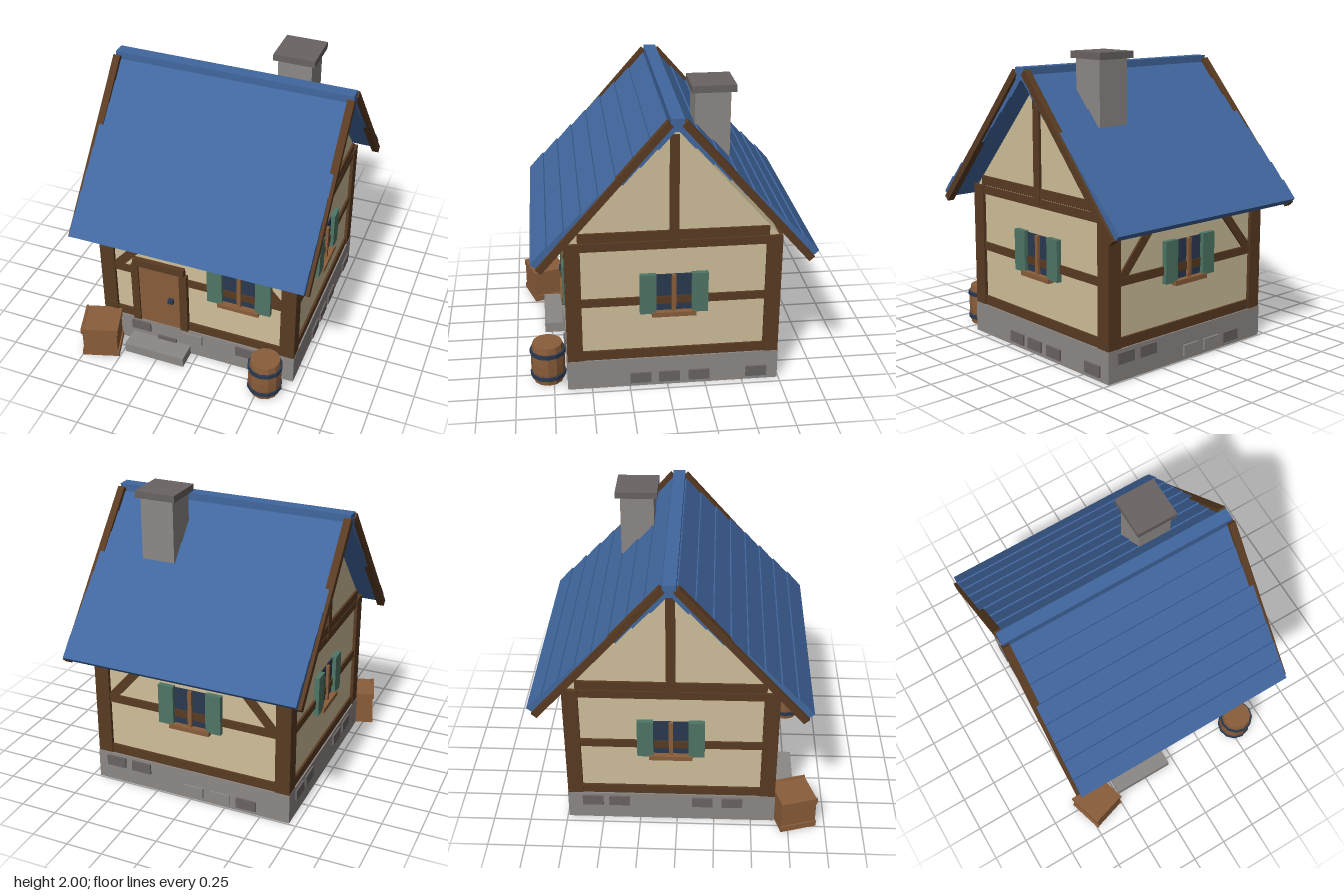
import * as THREE from 'three';

const mat = (name, color) => {
  const m = new THREE.MeshStandardMaterial({ color });
  m.name = name;
  return m;
};

export function createModel() {
  const plaster = mat('plaster', 0xcfbf9a);
  const timber = mat('dark timber', 0x593b22);
  const wood = mat('light wood', 0x8a5d3a);
  const roofBlue = mat('roof blue', 0x41679f);
  const stone = mat('stone', 0x8c8885);
  const darkStone = mat('dark stone', 0x6a6363);
  const shutterGreen = mat('shutter green', 0x4e7565);
  const darkBlue = mat('glass and iron', 0x2a3950);

  const model = new THREE.Group();
  model.name = 'cottage';
  const house = new THREE.Group();
  house.name = 'house';
  house.position.z = -0.04;
  model.add(house);

  // Box given by its low and high corners
  const box = (parent, name, m, x0, x1, y0, y1, z0, z1) => {
    const mesh = new THREE.Mesh(new THREE.BoxGeometry(x1 - x0, y1 - y0, z1 - z0), m);
    mesh.position.set((x0 + x1) / 2, (y0 + y1) / 2, (z0 + z1) / 2);
    mesh.name = name;
    parent.add(mesh);
    return mesh;
  };

  // Foundation, walls and gable
  box(house, 'foundation', stone, -0.7, 0.7, 0, 0.21, -0.7, 0.7);
  box(house, 'walls', plaster, -0.675, 0.675, 0.21, 1.055, -0.675, 0.675);
  const tri = new THREE.Shape([
    new THREE.Vector2(-0.675, 1.055), new THREE.Vector2(0.675, 1.055), new THREE.Vector2(0, 1.81),
  ]);
  const gableGeo = new THREE.ExtrudeGeometry(tri, { depth: 1.35, bevelEnabled: false });
  gableGeo.translate(0, 0, -0.675).rotateY(Math.PI / 2);
  const gable = new THREE.Mesh(gableGeo, plaster);
  gable.name = 'gable';
  house.add(gable);

  // Corner posts
  for (const sx of [-1, 1]) for (const sz of [-1, 1]) {
    const post = box(house, 'cornerPost', timber, -0.051, 0.051, 0.21, 1.057, -0.051, 0.051);
    post.position.x = sx * 0.646;
    post.position.z = sz * 0.646;
  }

  // Window with mullion, sill and shutters on a wall facing local +z
  const addWindow = (side, x) => {
    const w = new THREE.Group();
    w.name = 'window';
    w.position.x = x;
    side.add(w);
    box(w, 'glass', darkBlue, -0.117, 0.117, 0.555, 0.815, 0.675, 0.683);
    box(w, 'mullion', wood, -0.014, 0.014, 0.555, 0.815, 0.675, 0.703);
    box(w, 'sill', wood, -0.143, 0.143, 0.525, 0.557, 0.67, 0.722);
    for (const s of [-1, 1]) {
      const sh = box(w, 'shutter', shutterGreen, -0.053, 0.053, 0.547, 0.825, 0.675, 0.71);
      sh.position.x = s * 0.168;
    }
  };

  // Each wall: stones are [x, y, material], x along the wall
  const up = 0.152, low = 0.065;
  const walls = [
    { name: 'frontSide', angle: 0, win: 0.305, braces: true,
      stones: [[-0.415, up, darkStone], [-0.03, up, stone], [0.355, up, darkStone], [-0.222, low, darkStone]] },
    { name: 'leftSide', angle: Math.PI / 2, win: 0,
      stones: [-0.218, -0.028, 0.17, 0.555].map((x) => [x, low, darkStone]) },
    { name: 'backSide', angle: Math.PI, win: 0, braces: true,
      stones: [[-0.56, up, darkStone], [-0.37, up, darkStone], [0.02, low, stone], [0.21, low, stone], [0.4, low, darkStone]] },
    { name: 'rightSide', angle: -Math.PI / 2, win: 0,
      stones: [-0.53, -0.35, 0.21, 0.41].map((x) => [x, up, darkStone]) },
  ];
  for (const { name, angle, win, braces, stones } of walls) {
    const side = new THREE.Group();
    side.name = name;
    side.rotation.y = angle;
    house.add(side);
    for (const [y0, y1] of [[0.21, 0.275], [0.605, 0.66], [1, 1.055]]) {
      box(side, 'wallBeam', timber, -0.6, 0.6, y0, y1, 0.66, 0.69);
    }
    addWindow(side, win);
    for (const [x, y, m] of stones) {
      box(side, 'stoneBlock', m, x - 0.07, x + 0.07, y - 0.037, y + 0.037, 0.69, 0.713);
    }
    if (braces) {
      // Diagonal braces leaning in from the posts
      for (const s of [-1, 1]) {
        const brace = box(side, 'brace', timber, -0.03, 0.03, -0.24, 0.24, 0.66, 0.688);
        brace.position.x = s * 0.42;
        brace.position.y = 0.83;
        brace.rotation.z = s * 0.715;
      }
    } else {
      box(side, 'gableBeam', timber, -0.61, 0.61, 1.062, 1.125, 0.66, 0.69);
      box(side, 'kingPost', timber, -0.03, 0.03, 1.02, 1.76, 0.66, 0.694);
    }
  }

  // Door, frame and step
  const front = house.getObjectByName('frontSide');
  box(front, 'door', wood, -0.417, -0.115, 0.21, 0.697, 0.67, 0.697);
  box(front, 'doorJamb', timber, -0.468, -0.415, 0.21, 0.697, 0.67, 0.71);
  box(front, 'doorJamb', timber, -0.118, -0.063, 0.21, 0.697, 0.67, 0.71);
  box(front, 'doorLintel', timber, -0.452, -0.082, 0.697, 0.75, 0.67, 0.712);
  box(front, 'doorKnob', darkBlue, -0.2, -0.163, 0.437, 0.472, 0.69, 0.722);
  box(front, 'doorStep', stone, -0.485, -0.05, 0, 0.073, 0.69, 0.84);

  // Roof: one slope built facing local +z, then turned round for the back
  const pitch = 0.852;
  const c = Math.cos(pitch), s = Math.sin(pitch);
  for (const angle of [0, Math.PI]) {
    const slope = new THREE.Group();
    slope.name = 'roofSlope';
    slope.rotation.y = angle;
    house.add(slope);
    const len = 0.155, thick = 0.055;
    for (let i = 0; i < 8; i++) {
      // Start from the lower outer edge, move to the plank centre
      const z = 0.905 - i * 0.1075 - c * len / 2 - s * thick / 2;
      const y = 0.99 + i * 0.1075 + s * len / 2 - c * thick / 2;
      const plank = box(slope, 'roofPlank', roofBlue, -0.8, 0.8, -thick / 2, thick / 2, -len / 2, len / 2);
      plank.position.set(0, y, z);
      plank.rotation.x = pitch;
    }
    for (const sx of [-1, 1]) {
      const board = box(slope, 'bargeBoard', timber, -0.024, 0.024, -0.023, 0.023, -0.618, 0.618);
      board.position.set(sx * 0.798, 1.41, 0.45);
      board.rotation.x = pitch;
    }
  }
  box(house, 'ridgeBeam', roofBlue, -0.813, 0.813, 1.823, 1.905, -0.042, 0.042);

  // Chimney
  box(model, 'chimney', stone, 0.252, 0.48, 1.25, 1.957, -0.414, -0.19);
  box(model, 'chimneyCap', darkStone, 0.225, 0.505, 1.955, 2, -0.445, -0.165);

  // Barrel with two hoops
  const barrel = new THREE.Group();
  barrel.name = 'barrel';
  barrel.position.set(0.54, 0, 0.785);
  model.add(barrel);
  const profile = [[0, 0], [0.1, 0], [0.112, 0.08], [0.114, 0.14], [0.112, 0.2], [0.1, 0.28], [0, 0.28]];
  const staves = new THREE.LatheGeometry(profile.map(([r, y]) => new THREE.Vector2(r, y)), 12).toNonIndexed();
  staves.computeVertexNormals();
  const body = new THREE.Mesh(staves, wood);
  body.name = 'barrelBody';
  barrel.add(body);
  for (const y of [0.053, 0.221]) {
    const hoopGeo = new THREE.CylinderGeometry(0.119, 0.119, 0.028, 12).toNonIndexed();
    hoopGeo.computeVertexNormals();
    const hoop = new THREE.Mesh(hoopGeo, darkBlue);
    hoop.name = 'barrelHoop';
    hoop.position.y = y;
    barrel.add(hoop);
  }

  // Crate with edge slats on two sides
  const crate = new THREE.Group();
  crate.name = 'crate';
  crate.position.set(-0.66, 0, 0.783);
  crate.rotation.y = 0.3;
  model.add(crate);
  box(crate, 'crateBody', wood, -0.118, 0.118, 0, 0.24, -0.122, 0.122);
  for (const sx of [-1, 1]) for (const y of [0.026, 0.224]) {
    const slat = box(crate, 'crateSlat', wood, -0.008, 0.008, -0.021, 0.021, -0.126, 0.126);
    slat.position.set(sx * 0.12, y, 0);
  }

  return model;
}
